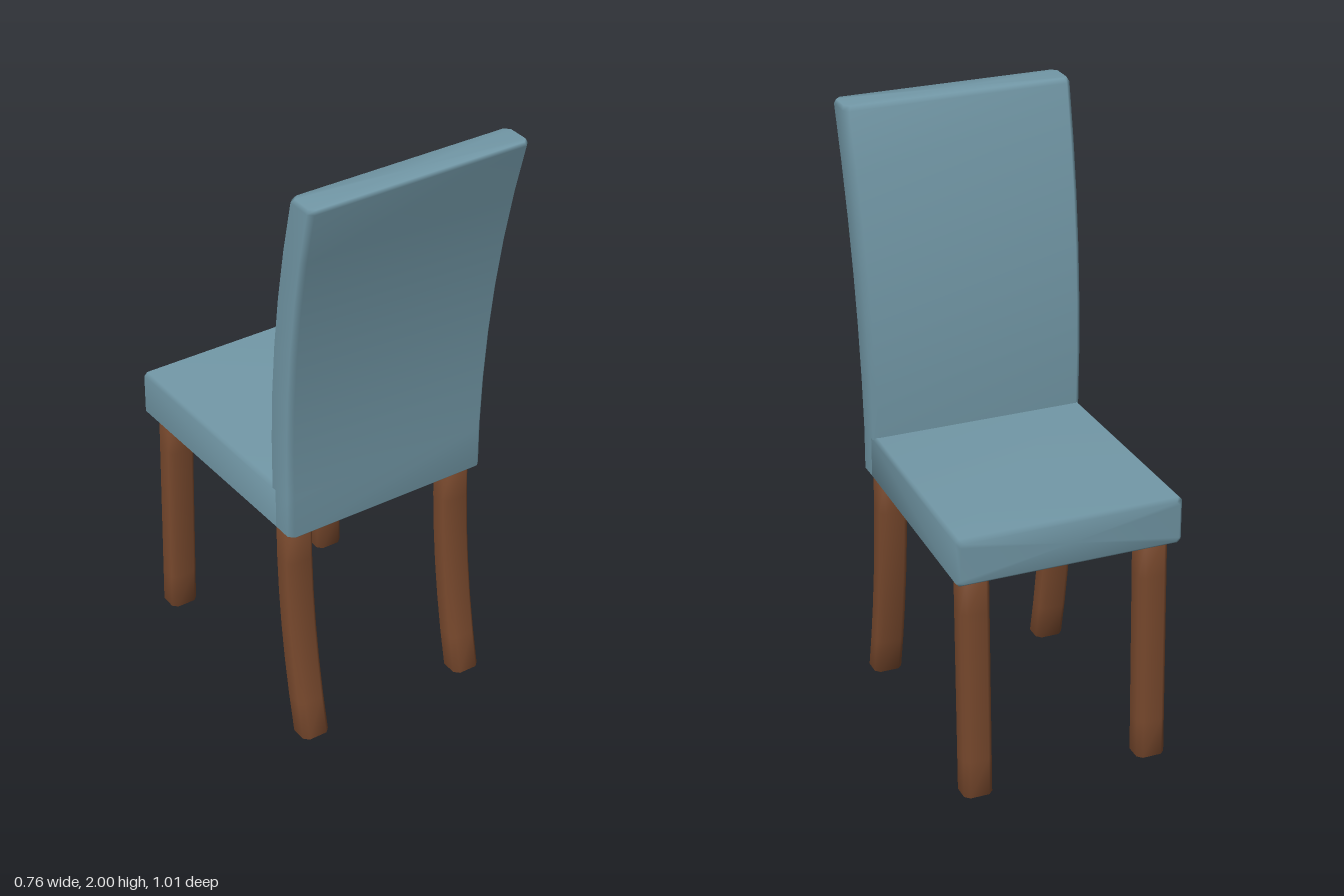
import * as THREE from 'three';

const fabric = new THREE.MeshStandardMaterial({ color: 0x7399a8 });
fabric.name = 'blueFabric';
const wood = new THREE.MeshStandardMaterial({ color: 0x7a4a2e });
wood.name = 'brownWood';

// Smooth loft up the y axis through chamfered rectangles, capped at both ends.
// Each ring is { y, z, w, d }: height, centre z, half width, half depth.
function loft(rings, bevel, x = 0) {
  const pos = [], index = [], n = 8;
  for (const { y, z, w, d } of rings) {
    const a = w - bevel, b = d - bevel;
    const outline = [[w, b], [w, -b], [a, -d], [-a, -d], [-w, -b], [-w, b], [-a, d], [a, d]];
    for (const [px, pz] of outline) pos.push(x + px, y, z + pz);
  }
  for (let r = 0; r < rings.length - 1; r++) {
    for (let i = 0; i < n; i++) {
      const a = r * n + i, b = r * n + (i + 1) % n;
      index.push(a, b, b + n, a, b + n, a + n);
    }
  }
  const last = (rings.length - 1) * n;
  const bottom = pos.length / 3, top = bottom + 1;
  for (const ring of [rings[0], rings[rings.length - 1]]) pos.push(x, ring.y, ring.z);
  for (let i = 0; i < n; i++) {
    const j = (i + 1) % n;
    index.push(bottom, j, i, top, last + i, last + j);
  }
  const geo = new THREE.BufferGeometry();
  geo.setAttribute('position', new THREE.Float32BufferAttribute(pos, 3));
  geo.setIndex(index);
  geo.computeVertexNormals();
  return geo;
}

export function createModel() {
  const chair = new THREE.Group();
  chair.name = 'diningChair';
  const add = (name, geo, material) => {
    const mesh = new THREE.Mesh(geo, material);
    mesh.name = name;
    chair.add(mesh);
  };

  // Backrest: curves away from the seat and widens towards the top
  const backRing = (y, inset = 0) => {
    const t = Math.max(0, y - 0.93);
    return { y, z: 0.304 + 0.13 * t * t, w: 0.362 + 0.019 * t - inset, d: 0.057 - inset };
  };
  const backRings = [backRing(0.77, 0.012), backRing(0.782), backRing(0.93)];
  for (let i = 1; i <= 6; i++) backRings.push(backRing(0.93 + i * 0.176));
  backRings.push(backRing(2, 0.007));
  add('backrest', loft(backRings, 0.016), fabric);

  // Seat cushion: lofted upwards, then laid down so it runs towards -z
  const seat = loft([
    { y: -0.28, z: 0.85, w: 0.362, d: 0.08 },
    { y: 0.49, z: 0.85, w: 0.375, d: 0.08 },
    { y: 0.504, z: 0.85, w: 0.363, d: 0.068 },
  ], 0.012);
  seat.rotateX(-Math.PI / 2);
  add('seat', seat, fabric);

  // Legs: straight slanted pair under the seat edge, curved pair under the backrest
  for (const [side, x] of [['left', 0.299], ['right', -0.299]]) {
    const straight = [], curved = [];
    for (let i = 0; i <= 6; i++) {
      const y = i * 0.13, t = 1 - i / 6;
      straight.push({ y, z: -0.426 - 0.02 * t, w: 0.048, d: 0.042 });
      curved.push({ y, z: 0.284 + 0.092 * t * t, w: 0.048, d: 0.042 });
    }
    add(side + 'StraightLeg', loft(straight, 0.016, x), wood);
    add(side + 'CurvedLeg', loft(curved, 0.016, x), wood);
  }
  return chair;
}
